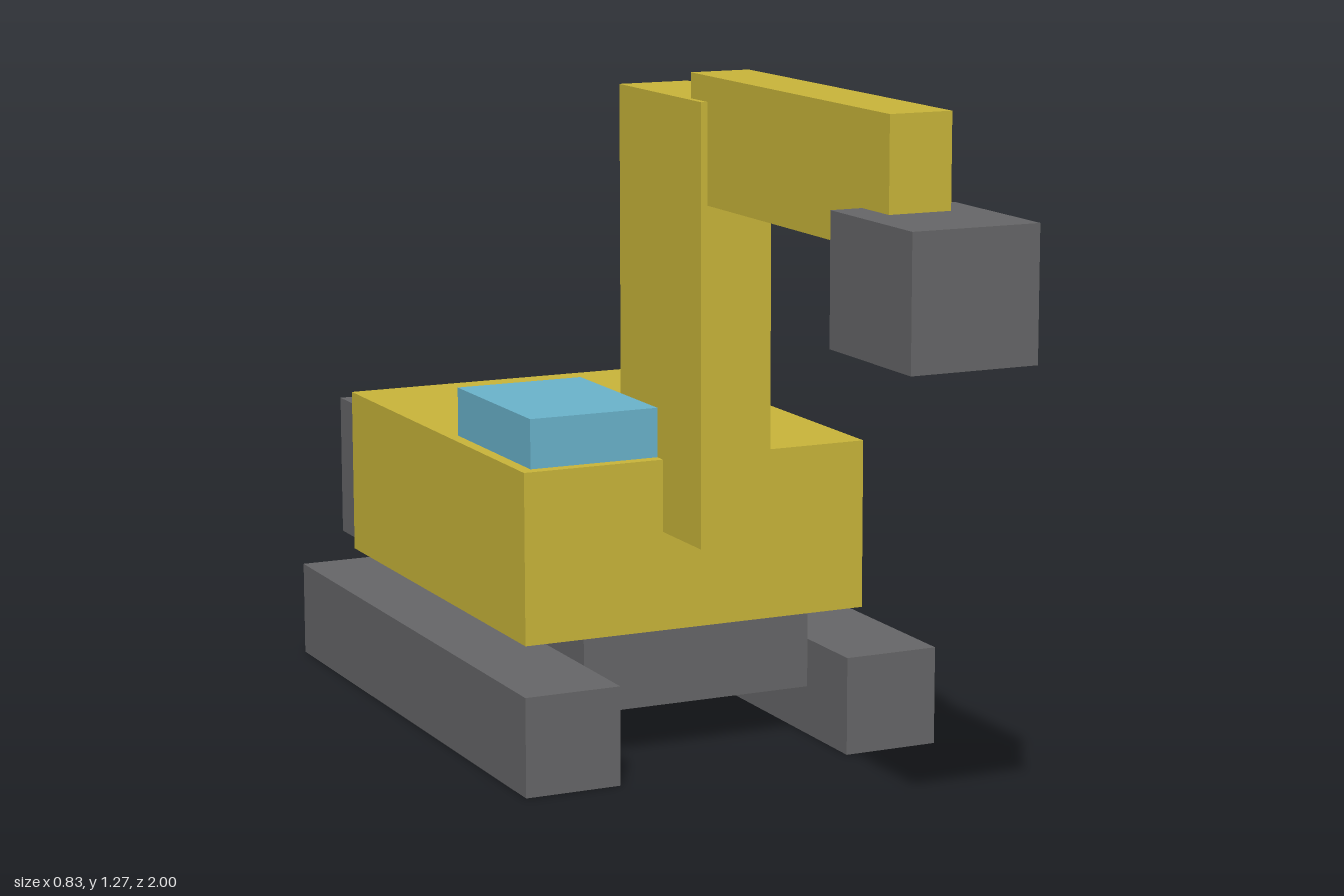
import * as THREE from 'three';

export function createModel() {
  const model = new THREE.Group();
  model.name = 'excavator';

  const material = (name, color) => {
    const m = new THREE.MeshStandardMaterial({ color });
    m.name = name;
    return m;
  };
  const yellow = material('yellow paint', 0xc9b53a);
  const grey = material('dark grey steel', 0x666668);
  const blue = material('blue glass', 0x6ab3cb);

  // Box given by its [min, max] extents along each axis
  const box = (name, mat, [x0, x1], [y0, y1], [z0, z1]) => {
    const mesh = new THREE.Mesh(new THREE.BoxGeometry(x1 - x0, y1 - y0, z1 - z0), mat);
    mesh.name = name;
    mesh.position.set((x0 + x1) / 2, (y0 + y1) / 2, (z0 + z1) / 2);
    model.add(mesh);
  };

  // Undercarriage
  box('leftTrack', grey, [0.229, 0.413], [0, 0.184], [-1, 0.149]);
  box('rightTrack', grey, [-0.413, -0.229], [0, 0.184], [-1, 0.149]);
  box('chassis', grey, [-0.229, 0.229], [0.092, 0.233], [-0.838, -0.011]);

  // Upper body
  box('body', yellow, [-0.344, 0.344], [0.233, 0.553], [-0.887, -0.011]);
  box('counterweight', grey, [-0.344, 0.344], [0.256, 0.53], [-0.953, -0.887]);
  box('cab', blue, [-0.321, -0.069], [0.5, 0.645], [-0.38, -0.035]);

  // Digging arm
  box('boom', yellow, [-0.069, 0.069], [0.418, 1.221], [-0.196, 0.149]);
  box('stick', yellow, [-0.057, 0.057], [1.038, 1.267], [0.082, 0.817]);
  box('bucket', grey, [-0.115, 0.115], [0.877, 1.105], [0.726, 1]);

  return model;
}
